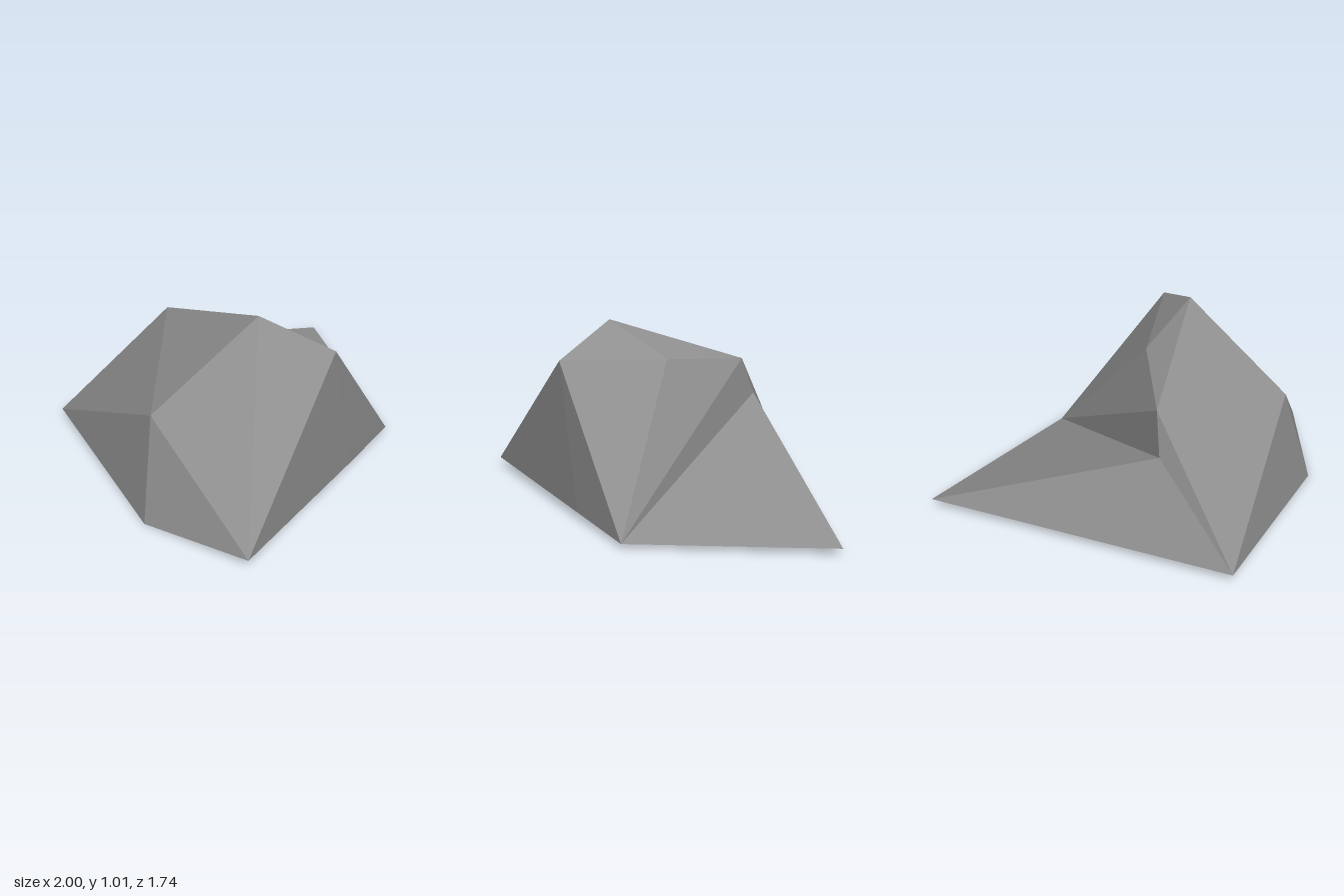
import * as THREE from 'three';

// Corners of the faceted rock
const P = {
  // foot ring
  A: [-0.74, 0.045, -0.87],
  B: [1, 0.045, -0.55],
  C: [0.55, 0.03, 0.51],
  L: [0.12, 0.05, 0.635],
  D: [-0.83, 0.055, 0.87],
  E: [-1, 0, 0.24],
  // shoulders and peak
  F: [-0.85, 0.57, 0.14],
  G: [-0.27, 1.015, 0.325],
  H: [-0.05, 0.87, 0.67],
  I: [-0.08, 0.81, 0.05],
  J: [-0.25, 0.72, -0.46],
  K: [-0.285, 0.49, -0.55],
};

// Facets, each named by its three corners, counter-clockwise from outside
const slopes = 'AKB AJK AFJ JFG FAE FED GFD'.split(' ');
const frontAndCrest = 'GDH HDL HLC CIH GHI GIJ'.split(' ');
const ledge = 'JIC JCK KCB'.split(' ');
const underside = 'EAB EBC ECL ELD'.split(' ');

export function createModel() {
  const group = new THREE.Group();
  group.name = 'rock';
  const stone = new THREE.MeshStandardMaterial({ color: 0x8f8f8f });
  stone.name = 'grey stone';

  const addFacets = (name, facets) => {
    const geometry = new THREE.BufferGeometry();
    const positions = facets.flatMap((f) => [...f].flatMap((corner) => P[corner]));
    geometry.setAttribute('position', new THREE.Float32BufferAttribute(positions, 3));
    geometry.computeVertexNormals(); // unshared corners give flat facets
    const mesh = new THREE.Mesh(geometry, stone);
    mesh.name = name;
    group.add(mesh);
  };

  addFacets('slopes', slopes);
  addFacets('frontAndCrest', frontAndCrest);
  addFacets('ledge', ledge);
  addFacets('underside', underside);
  return group;
}
